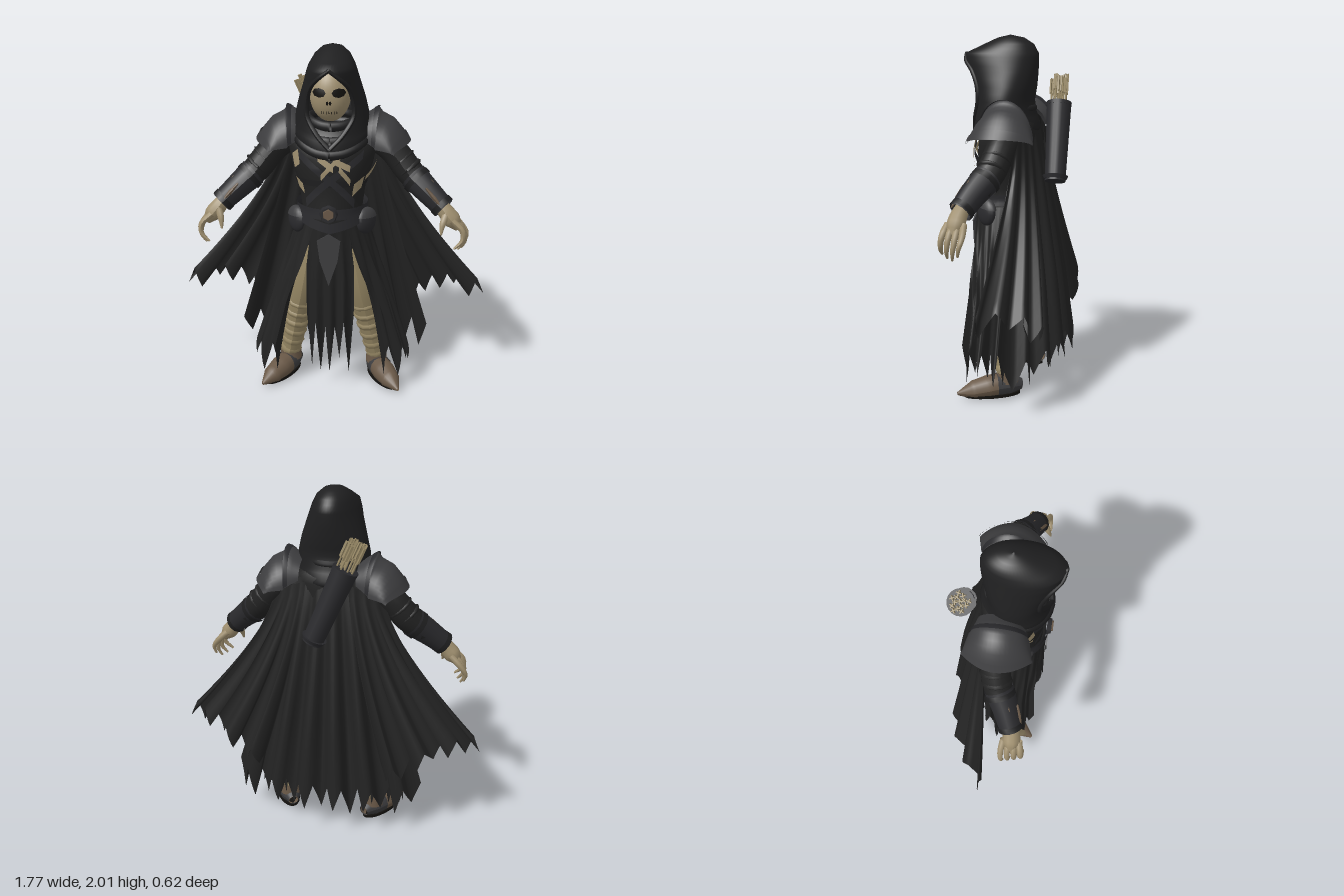
import * as THREE from 'three';
import { mergeVertices } from 'three/addons/utils/BufferGeometryUtils.js';

const V = (x, y, z) => new THREE.Vector3(x, y, z);
const { lerp, smoothstep } = THREE.MathUtils;
const mat = (name, color) => Object.assign(new THREE.MeshStandardMaterial({ color, side: THREE.DoubleSide }), { name });
const hash = (k) => { const s = Math.sin(k * 12.9898 + 4.1) * 43758.5453; return s - Math.floor(s); };

// Grid surface: u runs left to right, v from top to bottom
function sheet(f, nu, nv) {
  const g = new THREE.PlaneGeometry(1, 1, nu, nv), p = g.attributes.position, uv = g.attributes.uv;
  for (let i = 0; i < p.count; i++) p.setXYZ(i, ...f(uv.getX(i), 1 - uv.getY(i)).toArray());
  g.deleteAttribute('uv');
  g.deleteAttribute('normal');
  const m = mergeVertices(g, 1e-5);
  m.computeVertexNormals();
  return m;
}

// Rows are [y, halfWidth, zBack, zFront, frontGap, frontDip], from top to bottom
const openAngle = (r) => Math.asin(Math.min(1, (r[4] || 0) / r[1]));
function ringPoint(r, a, grow = 0) {
  const zm = (r[2] + r[3]) / 2, half = (r[3] - r[2]) / 2 + grow, c = Math.cos(a);
  const z = zm + half * (c > 0 ? c / Math.cos(openAngle(r)) : c);
  return V((r[1] + grow) * Math.sin(a), r[0] - (r[5] || 0) * Math.max(c, 0) ** 2, z);
}
const mixRows = (rows, t) => {
  const i = Math.min(Math.floor(t), rows.length - 2);
  return rows[i].map((n, k) => lerp(n, rows[i + 1][k], t - i));
};
const shell = (rows, nu = 40) => sheet((u, v) => {
  const r = mixRows(rows, v * (rows.length - 1)), a0 = openAngle(r);
  return ringPoint(r, lerp(a0, Math.PI * 2 - a0, u));
}, nu, (rows.length - 1) * 2);

// Strip lying on a shell, from (angle, y) to (angle, y)
const strip = (rows, a0, y0, a1, y1, width, grow) => sheet((u, v) => {
  const y = lerp(y0, y1, u) + (0.5 - v) * width;
  let i = 0;
  while (i < rows.length - 2 && rows[i + 1][0] > y) i++;
  return ringPoint(mixRows(rows, i + (rows[i][0] - y) / (rows[i][0] - rows[i + 1][0])), lerp(a0, a1, u), grow);
}, 24, 4);

// Tapered tube along a curve
function limb(pts, radii, sides = 12, seg = 20) {
  const curve = new THREE.CatmullRomCurve3(pts.map((p) => V(...p)));
  const g = new THREE.TubeGeometry(curve, seg, 1, sides), p = g.attributes.position, v = V(0, 0, 0);
  for (let i = 0; i < p.count; i++) {
    const t = Math.floor(i / (sides + 1)) / seg, c = curve.getPointAt(t);
    const k = t * (radii.length - 1), j = Math.min(Math.floor(k), radii.length - 2);
    v.fromBufferAttribute(p, i).sub(c).multiplyScalar(lerp(radii[j], radii[j + 1], k - j)).add(c);
    p.setXYZ(i, v.x, v.y, v.z);
  }
  g.computeVertexNormals();
  return g;
}

// Ragged hem: 0 at the deepest tip, 1 at the top of a tear
const tear = (u, n, seed) => {
  const k = Math.min(Math.floor(u * n), n - 1), f = u * n - k;
  return 1 - (0.55 + 0.45 * hash(k + seed)) * (1 - Math.abs(2 * f - 1));
};

export function createModel() {
  const root = new THREE.Group();
  const robe = mat('black robe', 0x222222), hoodCloth = mat('hood cloth', 0x1f1f20);
  const plate = mat('grey armour', 0x3d3d3f), leather = mat('dark leather', 0x2a2a2d);
  const bone = mat('bone', 0xa09070), linen = mat('linen wraps', 0x978865);
  const brown = mat('boot brown', 0x6a5948), dark = mat('hollow black', 0x14120f);
  const add = (parent, name, geo, material, pos, rot) => {
    const m = new THREE.Mesh(geo, material);
    m.name = name;
    if (pos) m.position.set(...pos);
    if (rot) m.rotation.set(...rot);
    parent.add(m);
    return m;
  };

  // Hood with open face and drooping cowl
  const hoodRows = [
    [2.0, 0.005, 0.045, 0.055, 0, 0], [1.985, 0.055, -0.03, 0.12, 0, 0], [1.95, 0.095, -0.085, 0.2, 0, 0],
    [1.9, 0.125, -0.112, 0.31, 0, 0], [1.86, 0.138, -0.112, 0.295, 0.05, 0], [1.8, 0.155, -0.108, 0.24, 0.1, 0],
    [1.72, 0.18, -0.098, 0.205, 0.122, 0], [1.64, 0.2, -0.082, 0.2, 0.125, 0], [1.57, 0.203, -0.095, 0.235, 0.07, 0.03],
    [1.53, 0.21, -0.11, 0.26, 0, 0.06], [1.49, 0.19, -0.12, 0.255, 0, 0.07], [1.47, 0.15, -0.11, 0.2, 0, 0.06]];
  add(root, 'hood', shell(hoodRows, 48), hoodCloth);
  const rim = hoodRows.slice(3, 10).map((r) => ringPoint(r, openAngle(r)).toArray());
  for (const s of [1, -1]) add(root, 'hoodRim', limb(rim.map(([x, y, z]) => [x * s, y, z]), [0.01, 0.014, 0.014], 8, 30), hoodCloth);
  // Scarf folds
  [[1.6, 0.13, 0.16, 0.03], [1.55, 0.17, 0.215, 0.05], [1.5, 0.19, 0.25, 0.065]].forEach(([y, w, zf, dip]) => {
    const ring = [];
    for (let i = 0; i <= 16; i++) ring.push(ringPoint([y, w, -0.08, zf, 0, dip], i / 16 * Math.PI * 2).toArray());
    add(root, 'scarfFold', limb(ring, [0.028, 0.022, 0.02, 0.022, 0.028], 8, 48), hoodCloth);
  });

  // Skull face with painted sockets and teeth
  const fx = -0.01, fy = 1.735, faceZ = (x, y) => 0.08 + 0.1 * Math.sqrt(Math.max(0, 1 - ((x - fx) / 0.112) ** 2 - ((y - fy) / 0.15) ** 2));
  add(root, 'skull', new THREE.SphereGeometry(1, 32, 24).scale(0.112, 0.15, 0.1), bone, [fx, fy, 0.08]);
  const mark = (name, x, y, w, h, sides = 16) => add(root, name, sheet((u, v) => {
    const a = u * Math.PI * 2, px = x + Math.cos(a) * w * (1 - v), py = y - Math.sin(a) * h * (1 - v);
    return V(px, py, faceZ(px, py) + 0.004);
  }, sides, 4), dark);
  for (const s of [1, -1]) {
    mark('eyeSocket', fx + s * 0.053, 1.757, 0.037, 0.025, 8);
    mark('nostril', fx + s * 0.008, 1.703, 0.007, 0.013, 5);
  }
  for (let i = -3; i <= 3; i++) mark('toothGap', fx + i * 0.014, 1.648, 0.002, 0.01, 6);

  // Torso, straps, torn bandages and belts
  const body = [
    [1.58, 0.13, -0.08, 0.1], [1.52, 0.22, -0.11, 0.17], [1.45, 0.245, -0.115, 0.215], [1.35, 0.225, -0.115, 0.23],
    [1.22, 0.185, -0.1, 0.22], [1.1, 0.17, -0.1, 0.225], [0.98, 0.195, -0.1, 0.23], [0.85, 0.19, -0.09, 0.2]];
  add(root, 'torso', shell(body), robe);
  const onBody = (name, m, ...a) => add(root, name, strip(body, ...a), m);
  onBody('crossStrap', leather, -0.75, 1.43, 0.75, 1.15, 0.05, 0.016);
  onBody('crossStrap', leather, -0.75, 1.15, 0.75, 1.43, 0.05, 0.02);
  onBody('chestWrap', hoodCloth, -1.2, 1.27, 1.2, 1.27, 0.035, 0.014);
  onBody('bandage', bone, -0.25, 1.42, 0.08, 1.36, 0.04, 0.026);
  onBody('bandage', bone, -0.2, 1.31, 0.22, 1.43, 0.035, 0.028);
  onBody('bandage', bone, 0.12, 1.4, 0.45, 1.36, 0.035, 0.026);
  onBody('bandage', bone, 0.2, 1.36, 0.5, 1.28, 0.035, 0.027);
  onBody('bandage', bone, -0.98, 1.38, -0.75, 1.41, 0.08, 0.016);
  onBody('bandage', bone, -1.05, 1.26, -0.8, 1.23, 0.06, 0.016);
  onBody('bandage', bone, 0.65, 1.23, 0.95, 1.27, 0.07, 0.016);
  onBody('bandage', bone, 1.0, 1.29, 1.5, 1.36, 0.03, 0.018);
  onBody('belt', leather, 0, 1.1, Math.PI * 2, 1.1, 0.06, 0.028);
  for (const s of [1, -1]) onBody('lowSash', leather, s > 0 ? 0 : -1.6, s > 0 ? 1.02 : 1.1, s > 0 ? 1.6 : 0, s > 0 ? 1.1 : 1.02, 0.055, 0.03);
  add(root, 'buckle', new THREE.CylinderGeometry(0.045, 0.052, 0.025, 8), leather, [-0.005, 1.105, 0.262], [Math.PI / 2, 0, 0]);
  add(root, 'buckleStud', new THREE.CylinderGeometry(0.03, 0.034, 0.02, 6), brown, [-0.005, 1.11, 0.274], [Math.PI / 2, 0, 0]);

  // Front tabard and pointed plate
  add(root, 'frontPanel', sheet((u, v) => {
    const s = u * 2 - 1, hem = 0.05 + 0.36 * tear(u, 5, 3) + 0.1 * Math.abs(s) - 0.02;
    return V(s * lerp(0.1, 0.135, Math.min(1, v * 2)), lerp(1.06, hem, v), 0.245 + 0.018 * v * Math.cos(s * 11) - 0.03 * s * s);
  }, 40, 12), robe);
  const point = new THREE.Shape([[-0.065, 0.95], [-0.05, 0.83], [0, 0.68], [0.05, 0.83], [0.065, 0.95], [0, 0.99]].map(([x, y]) => new THREE.Vector2(x, y)));
  add(root, 'tabardPoint', new THREE.ExtrudeGeometry(point, { depth: 0.008, bevelEnabled: false }), plate, [-0.005, 0, 0.254]);

  // Back cloak
  add(root, 'backCloak', sheet((u, v) => {
    const s = 1 - u * 2, a = Math.abs(s), hem = 0.1 + 0.2 * tear(u, 13, 8);
    const fold = 0.034 * Math.min(1, v * 1.5) * Math.cos(s * 19);
    return V(s * lerp(0.23, 0.56, v ** 1.1), lerp(1.55 - 0.06 * a, hem, v), lerp(-0.1 + 0.04 * a, -0.275 + 0.17 * a * a, v ** 0.85) + fold);
  }, 104, 16), robe);

  for (const s of [1, -1]) {
    const half = new THREE.Group();
    half.name = s > 0 ? 'leftSide' : 'rightSide';
    half.scale.x = s;
    root.add(half);
    const put = (...a) => add(half, ...a);

    // Spreading cloak wing
    put('cloakWing', sheet((u, v) => {
      const hem = lerp(0.3, 0.51, smoothstep(u, 0, 0.8)) + 0.17 * tear(u * 6.5 / 7, 7, 20) * (1 - u * 0.3);
      const x = lerp(lerp(0.12, 0.31, u), lerp(0.34, 0.885, u), v ** 1.35);
      const z = lerp(-0.11 + 0.05 * u, lerp(-0.23, 0, u ** 2), v) + 0.036 * v * Math.cos(u * 22);
      return V(x, lerp(1.5 - 0.08 * u, hem, v), z);
    }, 52, 14), robe);

    // Side skirt wrapping the leg
    put('sideSkirt', sheet((u, v) => {
      const a = lerp(lerp(0.45, 0.78, Math.min(1, v * 1.6)), 2.5, u), hem = 0.08 + 0.2 * tear(u, 9, 40), k = 1 + 0.07 * v * Math.cos(a * 17);
      return V(lerp(0.19, 0.43, v) * Math.sin(a) * k, lerp(1.06, hem, v), lerp(0.06, 0.075, v) + lerp(0.18, 0.22, v) * Math.cos(a) * k);
    }, 72, 14), robe);
    put('pouch', new THREE.SphereGeometry(1, 18, 12).scale(0.075, 0.075, 0.035), leather, [0.195, 1.03, 0.13], [-0.1, 0.9, 0]);
    put('pouchFlap', new THREE.SphereGeometry(1, 18, 6, 0, Math.PI * 2, 0, 1.3).scale(0.08, 0.075, 0.04), plate, [0.195, 1.034, 0.13], [-0.1, 0.9, 0]);

    // Shoulder plate and its rim
    const pad = [[0.16, 1.6, 0.12, 1.5], [0.25, 1.658, 0.15, 1.46], [0.275, 1.625, 0.16, 1.45], [0.34, 1.59, 0.172, 1.445],
      [0.39, 1.53, 0.18, 1.44], [0.425, 1.465, 0.182, 1.43]];
    const padAt = (u, t, grow) => {
      const [x, top, d, base] = mixRows(pad, t), a = (u - 0.5) * Math.PI;
      return V(x + grow - 0.09 * Math.sin(a) ** 2 * t / 5, lerp(base, top + grow, Math.cos(a)), 0.01 - (d + grow) * Math.sin(a));
    };
    put('shoulderPlate', sheet((u, v) => padAt(1 - u, 5 * (1 - v), 0), 24, 10), plate);
    put('shoulderRim', sheet((u, v) => padAt(1 - u, lerp(5, 4.3, v), 0.006), 24, 2), plate);
    put('shoulderRidge', sheet((u, v) => padAt(1 - u, lerp(1.1, 0.7, v), 0.006), 24, 2), leather);

    // Arm, bracer and lacing
    put('sleeve', limb([[0.2, 1.5, 0], [0.33, 1.41, 0], [0.44, 1.28, 0.03], [0.61, 1.13, 0.12]], [0.075, 0.078, 0.08, 0.07, 0.05]), robe);
    for (const [x, y, z] of [[0.37, 1.37, 0.005], [0.41, 1.325, 0.02]])
      put('sleeveFold', limb([[x, y, z], [x + 0.025, y - 0.03, z + 0.005]], [0.065, 0.085, 0.065], 12, 4), robe);
    put('bracer', limb([[0.45, 1.27, 0.035], [0.53, 1.2, 0.08], [0.625, 1.115, 0.125]], [0.082, 0.072, 0.062]), leather);
    for (const [x, y, z, r] of [[0.46, 1.26, 0.04, 0.084], [0.6, 1.137, 0.113, 0.068]])
      put('bracerBand', limb([[x, y, z], [x + 0.022, y - 0.019, z + 0.011]], [r, r], 14, 2), hoodCloth);
    put('bracerInlay', limb([[0.485, 1.315, 0.07], [0.55, 1.255, 0.1], [0.61, 1.185, 0.13]], [0.006, 0.014, 0.006], 6, 8), brown);
    put('bracerInlay', limb([[0.52, 1.235, 0.145], [0.57, 1.18, 0.16], [0.61, 1.135, 0.178]], [0.006, 0.013, 0.006], 6, 8), brown);

    // Bony hand
    put('palm', limb([[0.6, 1.14, 0.115], [0.64, 1.09, 0.13], [0.69, 1.03, 0.135], [0.71, 1.005, 0.14]], [0.038, 0.046, 0.05, 0.022], 10, 10), bone);
    for (let i = 0; i < 4; i++) {
      const z = 0.08 + i * 0.036, d = [0, 0.025, 0.02, 0.005][i];
      put('finger', limb([[0.67, 1.06, lerp(z, 0.13, 0.2)], [0.728, 1.005, z], [0.76 - i * 0.01, 0.955 - d, z + 0.006], [0.75 - i * 0.022, 0.91 - d, z + 0.015]], [0.019, 0.018, 0.014, 0.006], 7, 10), bone);
    }
    put('thumb', limb([[0.635, 1.09, 0.155], [0.617, 1.04, 0.185], [0.61, 0.985, 0.205]], [0.022, 0.018, 0.006], 7, 8), bone);

    // Leg with linen wraps
    const leg = [[0.11, 0.95, 0.07], [0.165, 0.62, 0.085], [0.22, 0.35, 0.03], [0.265, 0.1, -0.01]];
    put('trouserLeg', limb(leg, [0.1, 0.092, 0.08, 0.07, 0.052]), linen);
    for (let i = 0; i < 6; i++) {
      const t = i / 5, x = lerp(0.185, 0.255, t), y = lerp(0.52, 0.17, t), z = lerp(0.065, -0.005, t);
      put('legWrap', limb([[x, y, z], [x + 0.01, y - 0.045, z - 0.006]], [0.075 - 0.015 * t, 0.09 - 0.024 * t, 0.075 - 0.015 * t], 12, 4), linen);
    }

    // Boot turned outward
    const boot = new THREE.Group();
    boot.name = 'boot';
    boot.position.set(0.268, 0, 0);
    boot.rotation.y = 0.5;
    half.add(boot);
    const shoe = limb([[0, 0.045, -0.09], [0, 0.055, -0.03], [0, 0.05, 0.06], [0, 0.035, 0.16], [0, 0.02, 0.275]], [0.028, 0.062, 0.068, 0.056, 0.008], 16, 24);
    const p = shoe.attributes.position;
    for (let i = 0; i < p.count; i++) p.setY(i, Math.max(0.006, p.getY(i)));
    shoe.computeVertexNormals();
    add(boot, 'shoe', shoe, brown);
    add(boot, 'sole', new THREE.CylinderGeometry(0.066, 0.066, 0.016, 24).scale(1, 1, 2.45), dark, [0, 0.008, 0.075]);
    add(boot, 'heelGuard', limb([[0, 0.05, -0.095], [0, 0.056, -0.04], [0, 0.055, 0.05]], [0.03, 0.062, 0.07], 14, 8), plate);
    add(boot, 'ankleCuff', new THREE.CylinderGeometry(0.06, 0.066, 0.07, 14), brown, [0, 0.11, -0.012]);
  }

  // Slanted quiver with arrows
  const quiver = new THREE.Group();
  quiver.name = 'quiver';
  quiver.position.set(-0.04, 1.41, -0.212);
  quiver.rotation.set(0.06, 0, 0.4);
  root.add(quiver);
  add(quiver, 'quiverCase', new THREE.CylinderGeometry(0.07, 0.058, 0.46, 18), leather);
  for (const y of [-0.21, 0.22]) add(quiver, 'quiverBand', new THREE.CylinderGeometry(0.072, y > 0 ? 0.071 : 0.062, 0.02, 18), leather, [0, y, 0]);
  for (let i = 0; i < 14; i++) {
    const a = i * 2.4, r = 0.0135 * Math.sqrt(i + 0.5), h = 0.12 + 0.05 * hash(i);
    const x = r * Math.cos(a), z = r * Math.sin(a);
    add(quiver, 'arrowShaft', new THREE.CylinderGeometry(0.006, 0.006, h, 6), linen, [x, 0.23 + h / 2, z]);
    for (const t of [0, Math.PI / 2]) add(quiver, 'fletching', new THREE.BoxGeometry(0.028, 0.09, 0.005), linen, [x, 0.19 + h, z], [0, a + t, 0]);
  }
  return root;
}
